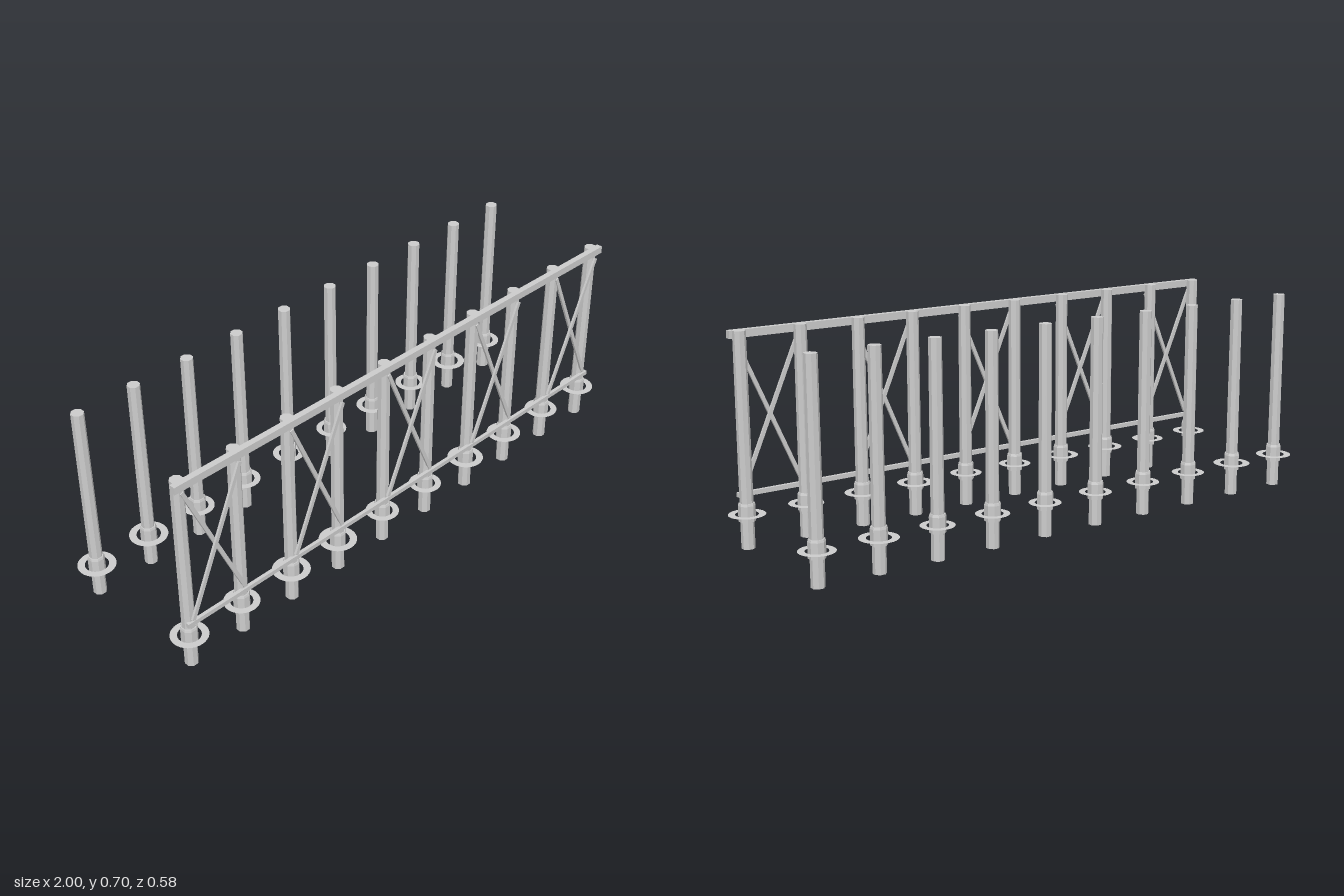
import * as THREE from 'three';

const mat = new THREE.MeshStandardMaterial({ color: 0xcccccc, flatShading: true });
const ringMat = new THREE.MeshStandardMaterial({ color: 0xcccccc, side: THREE.DoubleSide });

const PILE_X = [-0.94, -0.73, -0.52, -0.313, -0.105, 0.105, 0.313, 0.52, 0.73, 0.94];
const ROW_Z = 0.228;
// outer radius of the ripple ring round each pile
const FRONT_RINGS = [0.06, 0.058, 0.062, 0.063, 0.056, 0.055, 0.062, 0.06, 0.058, 0.06];
const BACK_RINGS = [0.062, 0.064, 0.056, 0.056, 0.055, 0.054, 0.056, 0.056, 0.063, 0.058];

function add(parent, name, geometry, x = 0, y = 0, z = 0) {
  const mesh = new THREE.Mesh(geometry, geometry.type === 'RingGeometry' ? ringMat : mat);
  mesh.name = name;
  mesh.position.set(x, y, z);
  parent.add(mesh);
  return mesh;
}

// Octagonal prism with flats facing the axes; radius is measured to the flats
function octagon(top, bottom, height) {
  const k = 1 / Math.cos(Math.PI / 8);
  return new THREE.CylinderGeometry(top * k, bottom * k, height, 8).rotateY(Math.PI / 8);
}

function makePile(name, x, z, ringRadius) {
  const pile = new THREE.Group();
  pile.name = name;
  pile.position.set(x, 0, z);
  add(pile, 'post', octagon(0.0195, 0.0205, 0.7), 0, 0.35);
  // collar with a bevelled upper edge
  add(pile, 'collar', octagon(0.0255, 0.0255, 0.052), 0, 0.116);
  add(pile, 'collarBevel', octagon(0.0235, 0.0255, 0.008), 0, 0.146);
  // flat water ring, separate from the collar
  add(pile, 'waterRing', new THREE.RingGeometry(ringRadius * 0.62, ringRadius, 32).rotateX(-Math.PI / 2), 0, 0.112);
  return pile;
}

// Flat timber between two points in a plane of constant z
function addBrace(parent, x0, y0, x1, y1, z) {
  const dx = x1 - x0, dy = y1 - y0;
  const brace = add(parent, 'brace', new THREE.BoxGeometry(0.013, Math.hypot(dx, dy), 0.008),
    (x0 + x1) / 2, (y0 + y1) / 2, z);
  brace.rotation.z = -Math.atan2(dx, dy);
}

export function createModel() {
  const model = new THREE.Group();
  model.name = 'pierPiles';

  // two rows of piles
  PILE_X.forEach((x, i) => {
    model.add(makePile('frontPile', x, ROW_Z, FRONT_RINGS[i]));
    model.add(makePile('backPile', x, -ROW_Z, BACK_RINGS[i]));
  });

  // long timbers along the front row
  add(model, 'topBeam', new THREE.BoxGeometry(1.94, 0.025, 0.021), 0, 0.6875, 0.246);
  add(model, 'lowerRail', new THREE.BoxGeometry(1.92, 0.015, 0.012), 0, 0.173, 0.249);

  // crossed braces in every other bay
  for (let i = 0; i < PILE_X.length; i += 2) {
    const bay = new THREE.Group();
    bay.name = 'crossBracing';
    addBrace(bay, PILE_X[i], 0.187, PILE_X[i + 1], 0.663, 0.254);
    addBrace(bay, PILE_X[i + 1], 0.187, PILE_X[i], 0.663, 0.247);
    model.add(bay);
  }
  return model;
}
